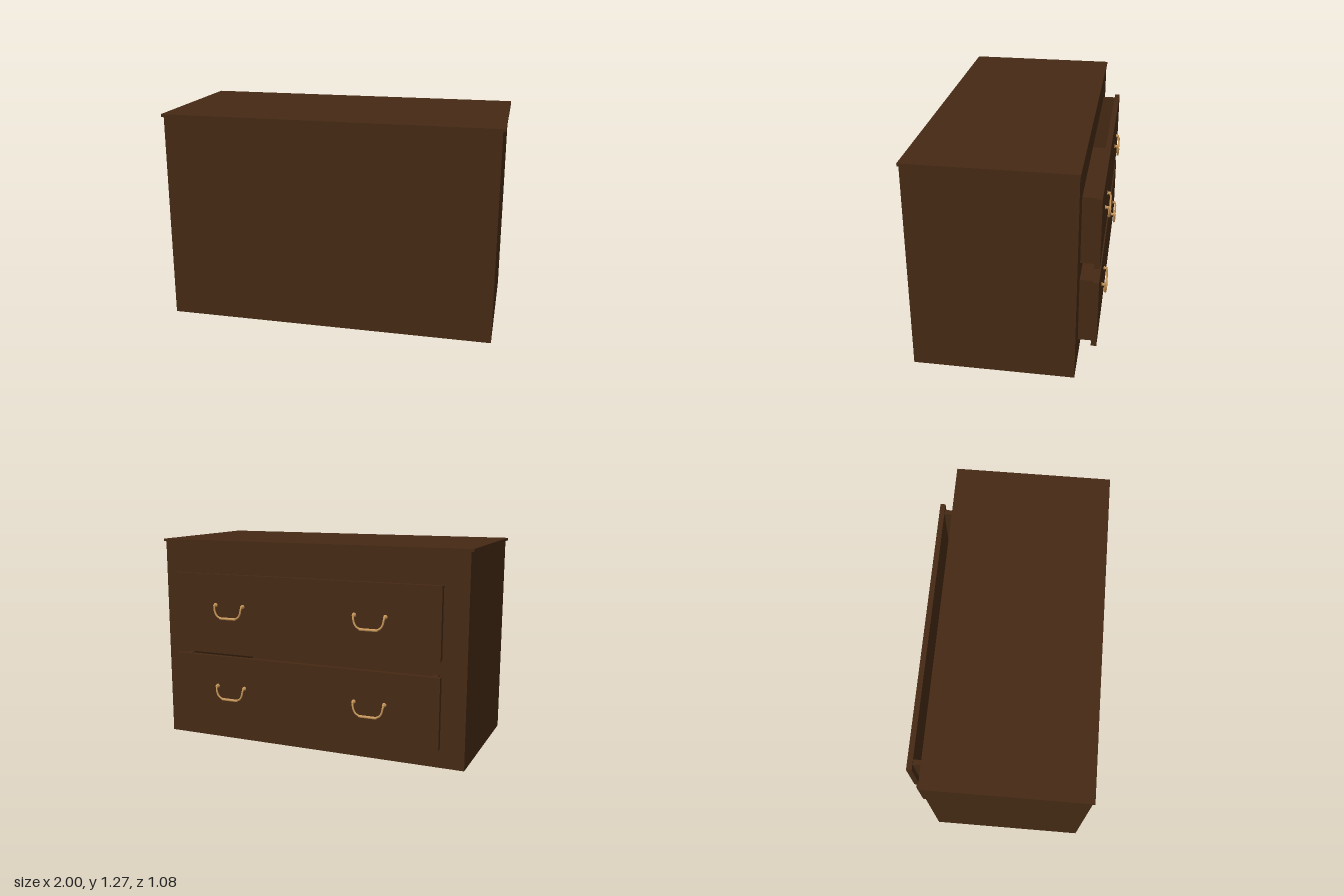
import * as THREE from 'three';

const wood = new THREE.MeshStandardMaterial({ color: 0x452a14 });
const brass = new THREE.MeshStandardMaterial({ color: 0xc8975a });

// Box given by its min and max corners
function slab(name, [x0, y0, z0], [x1, y1, z1]) {
  const mesh = new THREE.Mesh(new THREE.BoxGeometry(x1 - x0, y1 - y0, z1 - z0), wood);
  mesh.name = name;
  mesh.position.set((x0 + x1) / 2, (y0 + y1) / 2, (z0 + z1) / 2);
  return mesh;
}

function rectangle(target, x0, y0, x1, y1) {
  target.moveTo(x0, y0);
  target.lineTo(x1, y0);
  target.lineTo(x1, y1);
  target.lineTo(x0, y1);
  target.closePath();
  return target;
}

const drawerBottoms = [0.15, 0.66];
const drawerHeight = 0.4;
const drawerHalf = 0.825;

// Hollow carcass with a drawer-side frame
function createCabinet() {
  const g = new THREE.Group();
  g.name = 'cabinet';
  const t = 0.03, w = 0.985, h = 1.25, back = -0.4, front = 0.535;
  g.add(
    slab('sidePanelLeft', [w - t, 0, back + t], [w, h, front]),
    slab('sidePanelRight', [-w, 0, back + t], [-w + t, h, front]),
    slab('rearPanel', [-w + t, 0, front - t], [w - t, h, front]),
    slab('bottomPanel', [-w + t, 0, back + t], [w - t, t, front - t]),
    slab('top', [-1, h, -0.405], [1, 1.266, 0.54])
  );
  const shape = rectangle(new THREE.Shape(), -w, 0, w, h);
  for (const y of drawerBottoms) {
    shape.holes.push(rectangle(new THREE.Path(), -drawerHalf, y, drawerHalf, y + drawerHeight));
  }
  const frame = new THREE.Mesh(
    new THREE.ExtrudeGeometry(shape, { depth: t, bevelEnabled: false }), wood);
  frame.name = 'drawerFrame';
  frame.position.z = back;
  g.add(frame);
  return g;
}

// Hanging bail pull, with its pivots at y = 0 and the drawer face at z = 0
function createHandle() {
  const g = new THREE.Group();
  g.name = 'handle';
  const half = [[0.094, 0.002, -0.012], [0.092, -0.012, -0.021], [0.086, -0.04, -0.022],
    [0.072, -0.062, -0.022], [0.045, -0.074, -0.022]];
  const points = [
    ...half.map(([x, y, z]) => new THREE.Vector3(-x, y, z)),
    ...half.slice().reverse().map(([x, y, z]) => new THREE.Vector3(x, y, z))
  ];
  const bail = new THREE.Mesh(
    new THREE.TubeGeometry(new THREE.CatmullRomCurve3(points), 48, 0.006, 8), brass);
  bail.name = 'bail';
  g.add(bail);
  // Thicker grip along the bottom of the bail
  const grip = new THREE.Mesh(new THREE.CapsuleGeometry(0.008, 0.1, 4, 12), brass);
  grip.name = 'grip';
  grip.rotation.z = Math.PI / 2;
  grip.position.set(0, -0.075, -0.022);
  g.add(grip);
  for (const s of [-1, 1]) {
    const rosette = new THREE.Mesh(new THREE.CylinderGeometry(0.009, 0.013, 0.007, 16), brass);
    rosette.name = 'rosette';
    rosette.rotation.x = -Math.PI / 2;
    rosette.position.set(s * 0.094, 0.002, -0.0035);
    const knuckle = new THREE.Mesh(new THREE.SphereGeometry(0.009, 12, 8), brass);
    knuckle.name = 'knuckle';
    knuckle.position.set(s * 0.094, 0.001, -0.014);
    g.add(rosette, knuckle);
  }
  return g;
}

// Open tray with an overlapping face panel
function createDrawer(name) {
  const g = new THREE.Group();
  g.name = name;
  const w = drawerHalf, t = 0.03, h = drawerHeight, z0 = -0.478, z1 = 0.38;
  g.add(
    slab('traySideLeft', [w - t, 0, z0], [w, h, z1]),
    slab('traySideRight', [-w, 0, z0], [-w + t, h, z1]),
    slab('trayEnd', [-w + t, 0, z1 - t], [w - t, h, z1]),
    slab('trayFloor', [-w + t, 0, z0], [w - t, 0.02, z1 - t]),
    slab('drawerFace', [-0.86, -0.01, -0.51], [0.86, h + 0.01, z0])
  );
  for (const x of [-0.443, 0.47]) {
    const handle = createHandle();
    handle.position.set(x, 0.218, -0.51);
    g.add(handle);
  }
  return g;
}

export function createModel() {
  const model = new THREE.Group();
  model.name = 'chestOfDrawers';
  model.add(createCabinet());
  drawerBottoms.forEach((y, i) => {
    const drawer = createDrawer(i ? 'upperDrawer' : 'lowerDrawer');
    drawer.position.y = y;
    model.add(drawer);
  });
  return model;
}
